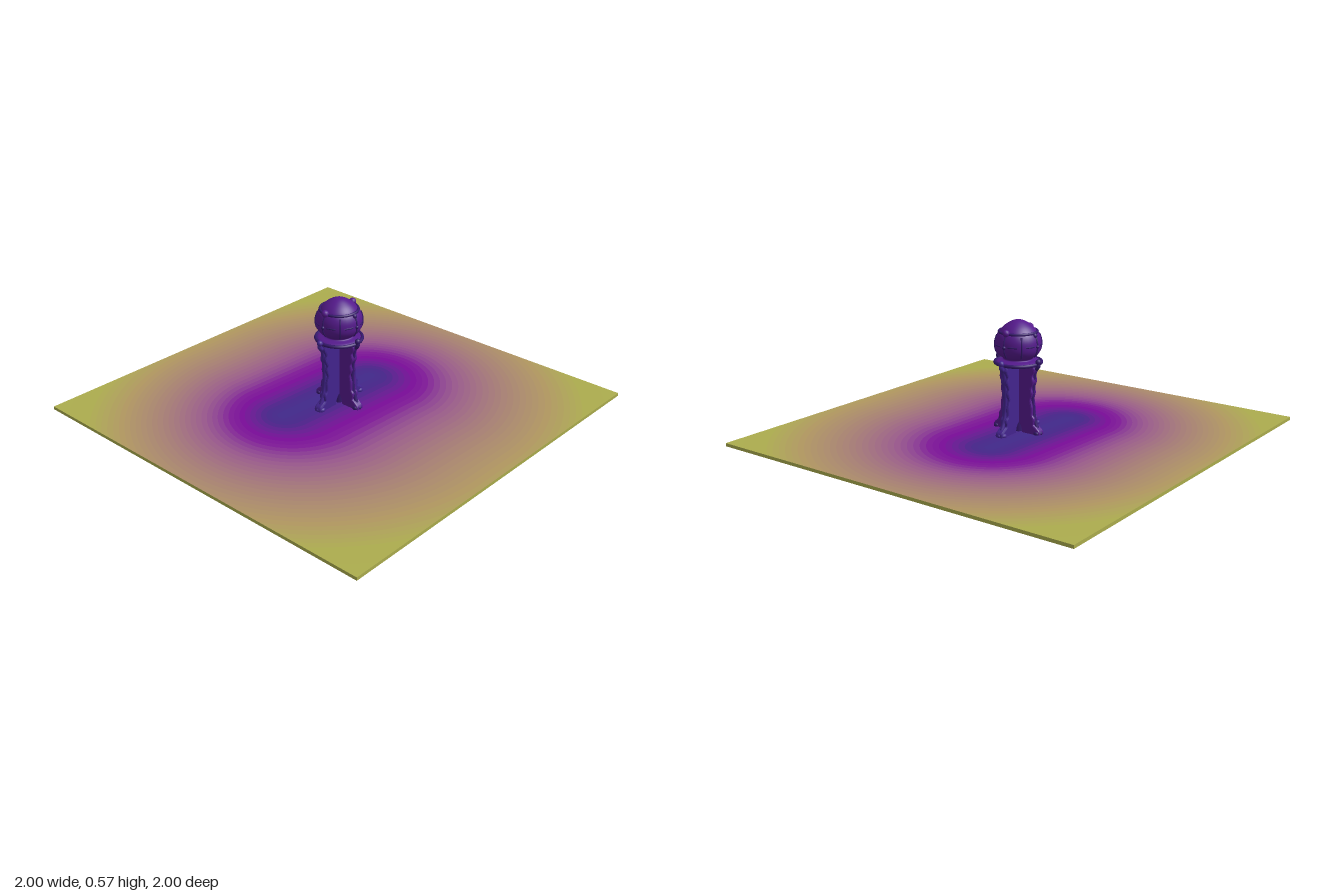
import * as THREE from 'three';

const V2 = (x, y) => new THREE.Vector2(x, y);
const TOP = 0.016;

function addMesh(parent, name, geometry, material, x = 0, y = 0, z = 0) {
  const mesh = new THREE.Mesh(geometry, material);
  mesh.name = name;
  mesh.position.set(x, y, z);
  parent.add(mesh);
  return mesh;
}

const paint = (color) => new THREE.MeshStandardMaterial({ color });

// Rounded outline at distance r from the middle strip, cut off by the square.
function outline(r, n = 96) {
  const pts = [];
  const half = 0.3 * Math.max(0, 1 - 0.55 * r);
  for (let i = 0; i <= n; i++) {
    const a = ((i + 0.5) / n) * Math.PI * 2;
    const side = Math.cos(a) >= 0 ? 1 : -1;
    const shift = Math.max(0, 1 - r);
    const x = side * half + r * Math.cos(a);
    const z = (-0.08 + side * 0.02) * shift + r * Math.sin(a);
    pts.push([THREE.MathUtils.clamp(x, -1, 1), THREE.MathUtils.clamp(z, -1, 1)]);
  }
  return pts;
}

// One colour band of the slab: top and bottom faces, and the rim if outermost.
function bandGeometry(inner, outer, rim) {
  const pos = [];
  const quad = (a, b, c, d) => pos.push(...a, ...b, ...c, ...a, ...c, ...d);
  const at = (p, y) => [p[0], y, p[1]];
  for (let i = 0; i < inner.length - 1; i++) {
    const [a, b, c, d] = [inner[i], inner[i + 1], outer[i + 1], outer[i]];
    quad(at(a, TOP), at(b, TOP), at(c, TOP), at(d, TOP));
    quad(at(a, 0), at(d, 0), at(c, 0), at(b, 0));
    if (rim) quad(at(d, 0), at(d, TOP), at(c, TOP), at(c, 0));
  }
  const g = new THREE.BufferGeometry();
  g.setAttribute('position', new THREE.Float32BufferAttribute(pos, 3));
  g.computeVertexNormals();
  return g;
}

// Slab colour by distance from the middle.
const stops = [
  [0, 0x40298a], [0.1, 0x462388], [0.24, 0x780a98], [0.32, 0x7f1a96],
  [0.48, 0x99588a], [0.7, 0xa57b74], [0.95, 0xb09660], [1.15, 0xacac4e], [2, 0xaab04a],
];
function bandColor(r) {
  const k = Math.max(1, stops.findIndex((s) => s[0] >= r));
  const [r0, c0] = stops[k - 1];
  const [r1, c1] = stops[k];
  return new THREE.Color(c0).lerp(new THREE.Color(c1), (r - r0) / (r1 - r0));
}

function createSlab() {
  const slab = new THREE.Group();
  slab.name = 'groundSlab';
  const count = 40;
  const step = 1.3 / count;
  for (let i = 0; i < count; i++) {
    const last = i === count - 1;
    const inner = outline(i * step);
    const outer = outline(last ? 40 : (i + 1) * step);
    addMesh(slab, 'slabBand', bandGeometry(inner, outer, last), paint(bandColor((i + 0.5) * step)));
  }
  return slab;
}

// Scalloped fin running out from the axis, with a flared foot.
function finGeometry() {
  const s = new THREE.Shape();
  s.moveTo(0.02, 0.07);
  s.lineTo(0.02, 0.32);
  s.quadraticCurveTo(0.03, 0.35, 0.05, 0.36);
  s.lineTo(0.108, 0.36);
  s.splineThru([
    V2(0.116, 0.34), V2(0.103, 0.31), V2(0.108, 0.28), V2(0.096, 0.25), V2(0.1, 0.22),
    V2(0.092, 0.19), V2(0.1, 0.15), V2(0.102, 0.11), V2(0.114, 0.09), V2(0.112, 0.06),
    V2(0.132, 0.045), V2(0.15, 0.03), V2(0.152, 0.01),
  ]);
  s.lineTo(0.05, 0.01);
  s.quadraticCurveTo(0.045, 0.06, 0.02, 0.07);
  const g = new THREE.ExtrudeGeometry(s, {
    depth: 0.026, bevelEnabled: true, bevelSize: 0.008, bevelThickness: 0.008,
    bevelSegments: 2, curveSegments: 5,
  });
  return g.translate(0, 0, -0.013);
}

function createLeg(material, trim) {
  const leg = new THREE.Group();
  addMesh(leg, 'fin', finGeometry(), material);
  // rounded bead along the outer edge
  const edge = new THREE.CatmullRomCurve3(
    [[0.14, 0.03], [0.118, 0.08], [0.103, 0.14], [0.1, 0.22], [0.107, 0.29], [0.115, 0.35]]
      .map(([x, y]) => new THREE.Vector3(x, y, 0)));
  addMesh(leg, 'edgeBead', new THREE.TubeGeometry(edge, 24, 0.01, 8), trim);
  // toes
  for (const z of [-0.016, 0, 0.016]) {
    const toe = addMesh(leg, 'toe', new THREE.SphereGeometry(0.016, 10, 8), trim, 0.147 - Math.abs(z) * 0.5, 0.022, z);
    toe.scale.set(1.1, 0.8, 0.8);
  }
  // curled bracket and its knob under the crown
  const curl = new THREE.CatmullRomCurve3(
    [[0.09, 0.355], [0.122, 0.345], [0.138, 0.36], [0.136, 0.378]].map(([x, y]) => new THREE.Vector3(x, y, 0)));
  addMesh(leg, 'bracket', new THREE.TubeGeometry(curl, 12, 0.011, 8), trim);
  addMesh(leg, 'bracketKnob', new THREE.SphereGeometry(0.015, 12, 8), trim, 0.137, 0.38, 0);
  return leg;
}

export function createModel() {
  const model = new THREE.Group();
  model.name = 'towerOnSlab';
  model.add(createSlab());

  const blue = paint(0x43248e);
  const purple = paint(0x551a8c);
  const dark = paint(0x35186c);
  const tower = new THREE.Group();
  tower.name = 'tower';
  model.add(tower);

  // four legs; the front and back pair is a little shorter
  for (let i = 0; i < 4; i++) {
    const leg = createLeg(i % 2 ? purple : blue, i % 2 ? dark : blue);
    leg.name = ['leftLeg', 'frontLeg', 'rightLeg', 'backLeg'][i];
    leg.rotation.y = -i * Math.PI / 2;
    if (i % 2) leg.scale.x = 0.88;
    tower.add(leg);
  }
  addMesh(tower, 'coreColumn', new THREE.CylinderGeometry(0.028, 0.028, 0.35, 16), dark, 0, 0.19, 0);

  // bulb on its collar, then the cap
  const bulb = [
    [0, 0.352], [0.1, 0.355], [0.112, 0.364], [0.1, 0.374], [0.076, 0.38], [0.074, 0.388],
    [0.094, 0.402], [0.109, 0.425], [0.114, 0.45], [0.112, 0.48], [0.103, 0.505], [0.092, 0.52],
  ].map((p) => V2(...p));
  addMesh(tower, 'bulb', new THREE.LatheGeometry(new THREE.SplineCurve(bulb).getPoints(36), 40), purple);
  const cap = [[0.092, 0.515], [0.085, 0.528], [0.066, 0.547], [0.04, 0.564], [0.018, 0.573], [0, 0.575]]
    .map((p) => V2(...p));
  addMesh(tower, 'cap', new THREE.LatheGeometry(new THREE.SplineCurve(cap).getPoints(16), 40), purple);

  // collar, waist and cap rings
  for (const [r, t, y] of [[0.113, 0.009, 0.366], [0.093, 0.007, 0.518]]) {
    const ring = addMesh(tower, 'ring', new THREE.TorusGeometry(r, t, 8, 40), dark, 0, y, 0);
    ring.rotation.x = Math.PI / 2;
  }

  // ribs, dashes and knobs around the bulb
  const ribPath = new THREE.CatmullRomCurve3(
    [[0.095, 0.402], [0.11, 0.425], [0.115, 0.45], [0.113, 0.48], [0.103, 0.507]]
      .map(([x, y]) => new THREE.Vector3(x, y, 0)));
  for (let i = 0; i < 8; i++) {
    const holder = new THREE.Group();
    holder.name = 'bulbTrim';
    holder.rotation.y = i * Math.PI / 4;
    addMesh(holder, 'rib', new THREE.TubeGeometry(ribPath, 16, 0.004, 6), dark);
    const dash = addMesh(holder, 'dash', new THREE.TorusGeometry(0.113, 0.004, 6, 8, 0.4), dark, 0, 0.458, 0);
    dash.rotation.set(Math.PI / 2, 0, 0.2);
    if (i % 2 === 0) {
      const big = i % 4 === 0;
      addMesh(holder, 'knob', new THREE.SphereGeometry(big ? 0.018 : 0.013, 12, 8), big ? purple : dark, 0.098, big ? 0.523 : 0.508, 0);
      addMesh(holder, 'stud', new THREE.SphereGeometry(0.009, 10, 8), dark, 0.115, 0.455, 0);
    }
    tower.add(holder);
  }
  return model;
}
